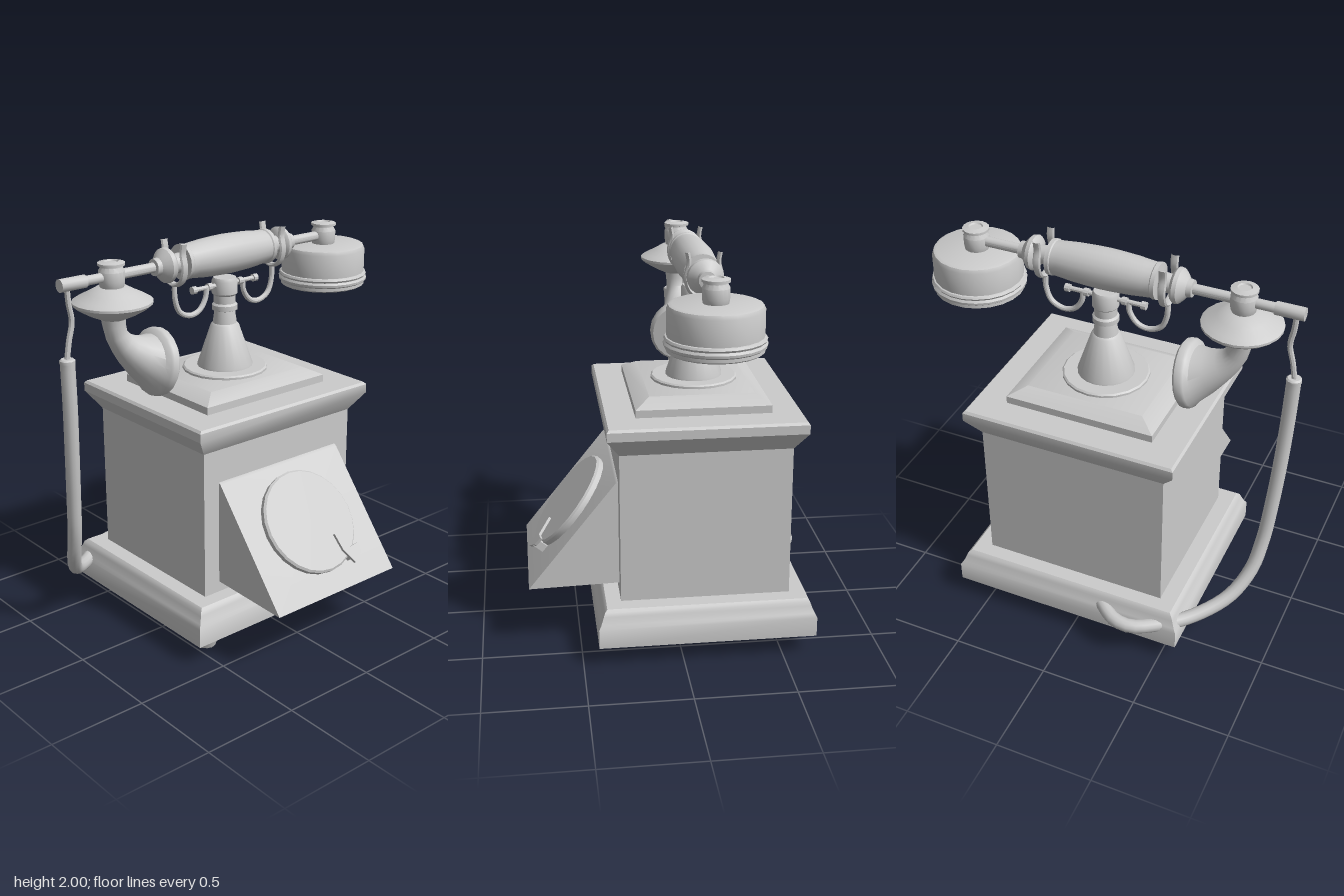
import * as THREE from 'three';
import { toCreasedNormals } from 'three/addons/utils/BufferGeometryUtils.js';

const CX = -0.123, CZ = -0.035; // vertical axis of the cabinet
const V = (x, y, z) => new THREE.Vector3(x, y, z);

export function createModel() {
  const model = new THREE.Group();
  const material = new THREE.MeshStandardMaterial({ color: 0xcccccc });

  function add(name, geometry, x = 0, y = 0, z = 0, parent = model) {
    const mesh = new THREE.Mesh(toCreasedNormals(geometry, 0.6), material);
    mesh.name = name;
    mesh.position.set(x, y, z);
    parent.add(mesh);
    return mesh;
  }

  // Turned part from [radius, height] pairs, bottom to top
  const turned = (points, sides = 20) =>
    new THREE.LatheGeometry(points.map(([r, h]) => new THREE.Vector2(r, h)), sides);

  // Smooth round tube through points
  const tube = (points, radius, steps = 24, sides = 10) =>
    new THREE.TubeGeometry(new THREE.CatmullRomCurve3(points), steps, radius, sides);

  // Closed skin over rings that run counter-clockwise about the direction of travel
  function loft(rings) {
    const n = rings[0].length, index = [], last = (rings.length - 1) * n;
    for (let i = 0; i < rings.length - 1; i++) {
      for (let j = 0; j < n; j++) {
        const a = i * n + j, b = i * n + (j + 1) % n;
        index.push(a, b, b + n, a, b + n, a + n);
      }
    }
    for (let j = 1; j < n - 1; j++) {
      index.push(0, j + 1, j, last, last + j, last + j + 1);
    }
    const geometry = new THREE.BufferGeometry().setFromPoints(rings.flat());
    geometry.setIndex(index);
    geometry.computeVertexNormals();
    return geometry;
  }

  // Rectangular moulding from [overhang past the body, height] pairs
  const moulding = (profile) => loft(profile.map(([d, y]) => {
    const hx = 0.425 + d, hz = 0.487 + d * 1.1;
    return [V(hx, y, hz), V(hx, y, -hz), V(-hx, y, -hz), V(-hx, y, hz)];
  }));

  // Cabinet
  add('base', moulding([[0.12, 0.1], [0.12, 0.2], [0.108, 0.22], [0.095, 0.255],
    [0.088, 0.275], [0.075, 0.288]]), CX, 0, CZ);
  add('body', moulding([[0, 0.28], [0, 1.07]]), CX, 0, CZ);
  add('cornice', moulding([[0, 1.06], [0.062, 1.155], [0.062, 1.2], [0.052, 1.212]]), CX, 0, CZ);
  add('topPlate', moulding([[-0.09, 1.21], [-0.09, 1.25], [-0.165, 1.292]]), CX, 0, CZ);
  for (const x of [-0.4, 0.4]) {
    for (const z of [0.43, -0.42]) {
      add('foot', turned([[0, 0], [0.05, 0], [0.085, 0.1], [0, 0.1]], 12), CX + x, 0, z);
    }
  }

  // Dial box: wedge on the left side
  const wedge = new THREE.Shape([[0.28, 0.345], [0.755, 0.333], [0.315, 0.88], [0.3, 0.89], [0.28, 0.89]]
    .map(([x, y]) => new THREE.Vector2(x, y)));
  add('dialBox', new THREE.ExtrudeGeometry(wedge, { depth: 0.79, bevelEnabled: false }), 0, 0, CZ - 0.395);

  // Dial and finger stop, in a frame whose y axis is the slope's normal
  const dial = new THREE.Group();
  dial.name = 'dial';
  dial.position.set(0.518, 0.63, CZ);
  dial.rotation.z = -0.895;
  model.add(dial);
  add('dialDisc', turned([[0, -0.01], [0.27, -0.01], [0.272, 0.025], [0.262, 0.035], [0, 0.035]], 24), 0, 0, 0, dial);
  const hook = new THREE.Shape([[0.11, 0.08], [0.2, 0.135], [0.19, 0.2], [0.24, 0.19], [0.28, 0.13], [0.2, 0.09]]
    .map(([u, w]) => new THREE.Vector2(u, w)));
  const stop = new THREE.ExtrudeGeometry(hook, { depth: 0.014, bevelEnabled: false });
  stop.rotateX(-Math.PI / 2);
  add('fingerStop', stop, 0, 0.05, 0, dial);
  add('fingerStopPost', new THREE.BoxGeometry(0.04, 0.06, 0.04), 0.235, 0.03, -0.155, dial);

  // Stand
  add('standFoot', turned([[0, 1.28], [0.22, 1.28], [0.22, 1.303], [0.212, 1.31], [0, 1.31]]), CX, 0, CZ);
  add('stand', turned([[0.145, 1.3], [0.143, 1.32], [0.073, 1.525], [0.062, 1.535], [0.053, 1.6],
    [0.066, 1.605], [0.066, 1.63], [0.056, 1.64], [0.056, 1.68], [0.066, 1.69], [0.066, 1.755],
    [0.058, 1.772], [0, 1.772]]), CX, 0, CZ);

  // Cradle: cross bar, with a hook and a fork at each end
  const cradle = new THREE.Group();
  cradle.name = 'cradle';
  cradle.position.set(CX, 0, CZ);
  model.add(cradle);
  add('crossBar', new THREE.CylinderGeometry(0.012, 0.012, 0.42, 10).rotateX(Math.PI / 2), 0, 1.735, 0, cradle);
  for (const s of [-1, 1]) {
    for (const z of [0.1, 0.2]) {
      add('crossBarBead', new THREE.CylinderGeometry(0.02, 0.02, 0.026, 10).rotateX(Math.PI / 2), 0, 1.735, s * z, cradle);
    }
    add('cradleHook', tube([[0.12, 1.735], [0.125, 1.685], [0.165, 1.627], [0.225, 1.61], [0.29, 1.64],
      [0.318, 1.71], [0.32, 1.79]].map(([z, y]) => V(0, y, s * z)), 0.014), 0, 0, 0, cradle);
    const fork = tube([[-0.078, 2], [-0.07, 1.95], [-0.085, 1.88], [-0.06, 1.81], [0, 1.785],
      [0.06, 1.81], [0.085, 1.88], [0.07, 1.95], [0.078, 2]].map(([x, y]) => V(x, y, 0)), 0.012, 28, 8);
    fork.scale(1, 1, 1.7);
    add('cradleFork', fork, 0, 0, s * 0.32, cradle);
  }

  // Handset bar, turned along z
  const half = [[0.099, 0.07], [0.095, 0.15], [0.088, 0.22], [0.085, 0.255], [0.09, 0.26], [0.09, 0.28],
    [0.05, 0.285], [0.045, 0.34], [0.075, 0.35], [0.088, 0.365], [0.085, 0.385], [0.065, 0.405],
    [0.045, 0.42], [0.042, 0.445], [0.025, 0.447], [0.025, 0.69], [0, 0.69]];
  const grip = [...half.map(([r, z]) => [r, -z]).reverse(), [0.101, 0], ...half];
  add('handsetGrip', turned(grip).rotateX(Math.PI / 2), CX, 1.89, CZ);
  add('cordRod', new THREE.CylinderGeometry(0.024, 0.024, 0.2, 12).rotateX(Math.PI / 2), CX, 1.89, 0.74);
  add('cordSocket', new THREE.CylinderGeometry(0.032, 0.032, 0.14, 12).rotateX(Math.PI / 2), CX, 1.89, 0.875);

  // Knobs that hold the earpiece and the mouthpiece
  const knob = [[0.05, 1.82], [0.06, 1.845], [0.064, 1.87], [0.064, 1.915], [0.052, 1.935],
    [0.052, 1.94], [0.066, 1.943], [0.066, 1.955], [0.035, 1.962], [0.03, 1.955], [0, 1.955]];
  for (const z of [0.655, -0.725]) add('knob', turned(knob, 16), CX, 0, z);

  add('earpiece', turned([[0, 1.625], [0.215, 1.625], [0.226, 1.632], [0.226, 1.648], [0.236, 1.655],
    [0.238, 1.667], [0.23, 1.678], [0.236, 1.688], [0.23, 1.698], [0.223, 1.7], [0.223, 1.822],
    [0.215, 1.84], [0.2, 1.846], [0, 1.846]], 22), CX, 0, -0.725);
  add('mouthpieceDisc', turned([[0, 1.685], [0.065, 1.685], [0.12, 1.71], [0.175, 1.742], [0.195, 1.76],
    [0.195, 1.772], [0.17, 1.787], [0.12, 1.812], [0.075, 1.838], [0, 1.84]], 22), CX, 0, 0.655);

  // Horn: rings [z, y, tilt, radius] bending from straight down towards the back
  const horn = [[0.655, 1.7, 0, 0.062], [0.651, 1.65, 0.12, 0.056], [0.638, 1.595, 0.4, 0.055],
    [0.61, 1.548, 0.8, 0.063], [0.575, 1.51, 1.03, 0.078], [0.515, 1.462, 1.22, 0.107],
    [0.455, 1.424, 1.38, 0.14], [0.437, 1.42, 1.41, 0.165], [0.425, 1.418, 1.41, 0.172],
    [0.395, 1.413, 1.41, 0.172], [0.383, 1.411, 1.41, 0.16]];
  add('horn', loft(horn.map(([z, y, tilt, r]) => {
    const ty = -Math.cos(tilt), tz = -Math.sin(tilt);
    return Array.from({ length: 20 }, (_, j) => {
      const a = j / 20 * Math.PI * 2, v = Math.sin(a) * r;
      return V(CX + Math.cos(a) * r, y + tz * v, z - ty * v);
    });
  })));

  // Cord: thin wire, then a thick sleeve that sweeps round to the base
  add('cordWire', tube([V(CX, 1.88, 0.905), V(CX, 1.8, 0.9), V(CX, 1.71, 0.887), V(CX, 1.62, 0.908),
    V(CX, 1.52, 0.925)], 0.014, 16, 8));
  add('cordCollar', turned([[0, 1.515], [0.038, 1.515], [0.038, 1.53], [0.03, 1.537], [0, 1.537]], 12), CX, 0, 0.922);
  add('cordSleeve', tube([V(-0.123, 1.525, 0.922), V(-0.13, 1.3, 0.915), V(-0.15, 1.05, 0.905),
    V(-0.18, 0.8, 0.89), V(-0.22, 0.57, 0.87), V(-0.285, 0.41, 0.84), V(-0.39, 0.285, 0.765),
    V(-0.53, 0.212, 0.62), V(-0.64, 0.2, 0.48), V(-0.71, 0.2, 0.35), V(-0.7, 0.205, 0.255),
    V(-0.62, 0.21, 0.15)], 0.036, 48, 12));

  return model;
}
